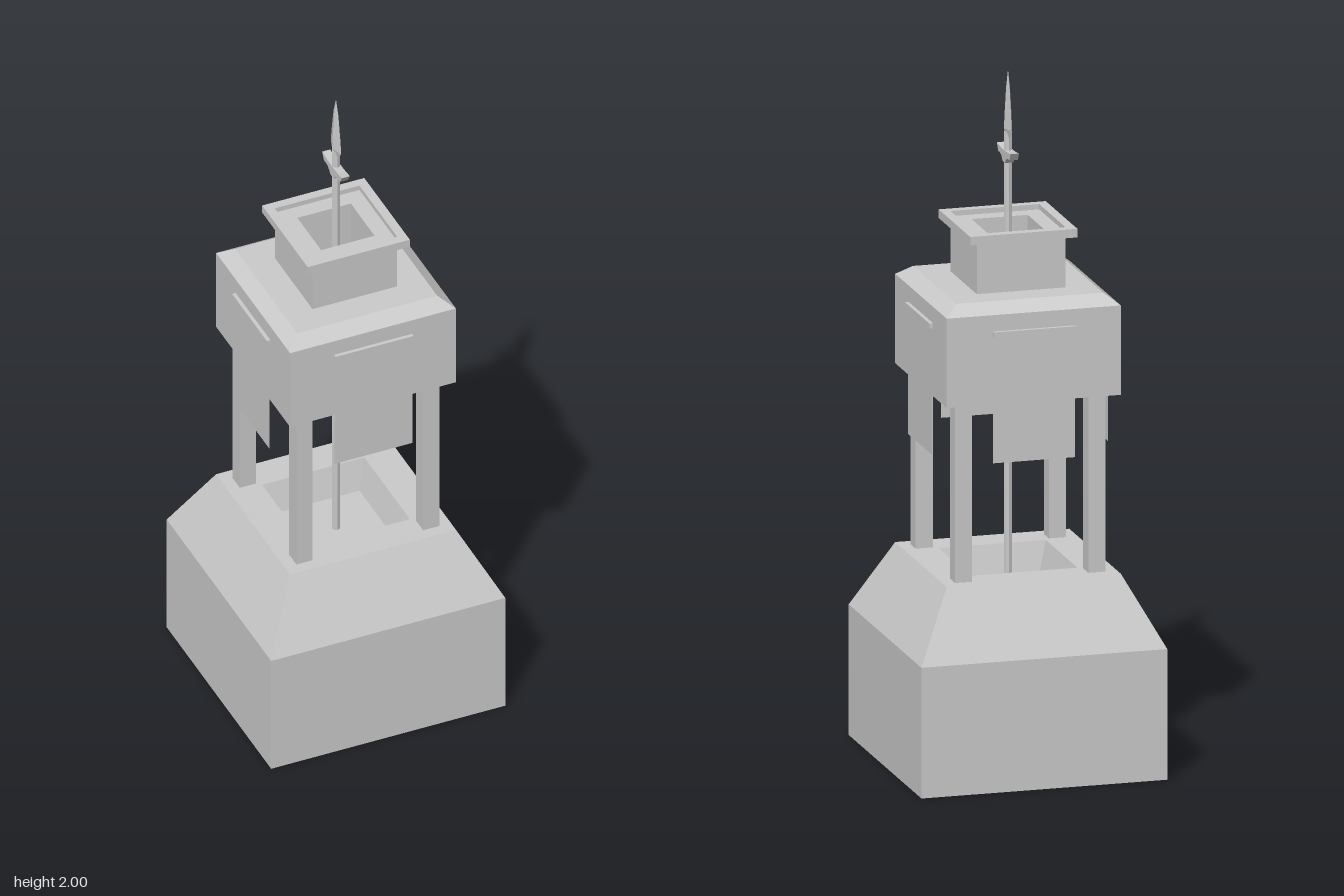
import * as THREE from 'three';

const grey = new THREE.MeshStandardMaterial({ color: 0xcccccc, flatShading: true });
const clothGrey = new THREE.MeshStandardMaterial({ color: 0xcccccc, side: THREE.DoubleSide });

function add(parent, name, geometry, x = 0, y = 0, z = 0) {
  const mesh = new THREE.Mesh(geometry, grey);
  mesh.name = name;
  mesh.position.set(x, y, z);
  parent.add(mesh);
  return mesh;
}

// Square solid from a profile of [half width, height], from bottom axis to top axis
function squareLathe(profile) {
  const points = profile.map(([h, y]) => new THREE.Vector2(h * Math.SQRT2, y));
  return new THREE.LatheGeometry(points, 4, Math.PI / 4);
}

export function createModel() {
  const model = new THREE.Group();
  model.name = 'bannerTower';

  // Plinth with sloping shoulders and a sunken floor
  add(model, 'plinth', squareLathe([
    [0, 0], [0.36, 0], [0.36, 0.38], [0.255, 0.58],
    [0.157, 0.58], [0.13, 0.49], [0, 0.49],
  ]));

  // Corner posts
  for (const sx of [-1, 1]) {
    for (const sz of [-1, 1]) {
      add(model, 'cornerPost', new THREE.BoxGeometry(0.05, 0.53, 0.05), sx * 0.195, 0.84, sz * 0.195);
    }
  }

  // Upper block, hollow underneath and bevelled on top
  add(model, 'upperBlock', squareLathe([
    [0, 1.2], [0.16, 1.2], [0.16, 1.1], [0.255, 1.1],
    [0.255, 1.36], [0.215, 1.39], [0, 1.39],
  ]));

  // Open collar with a flanged rim
  add(model, 'collar', squareLathe([
    [0.13, 1.39], [0.13, 1.54], [0.157, 1.54], [0.157, 1.565], [0.13, 1.565],
    [0.13, 1.55], [0.082, 1.55], [0.082, 1.395], [0, 1.395],
  ]));

  // One hanging banner with its rod on each side
  for (let i = 0; i < 4; i++) {
    const side = new THREE.Group();
    side.name = 'banner';
    side.rotation.y = i * Math.PI / 2;
    const cloth = add(side, 'cloth', new THREE.PlaneGeometry(0.24, 0.375), 0, 1.1175, 0.258);
    cloth.material = clothGrey;
    add(side, 'rod', new THREE.BoxGeometry(0.24, 0.015, 0.014), 0, 1.305, 0.259);
    model.add(side);
  }

  // Spear standing through the middle
  const spear = new THREE.Group();
  spear.name = 'spear';
  model.add(spear);
  add(spear, 'shaft', new THREE.CylinderGeometry(0.012, 0.012, 1.33, 8), 0, 1.155, 0);

  // Leaf-shaped blade, diamond in section
  const blade = new THREE.LatheGeometry([
    [0, 1.795], [0.012, 1.8], [0.036, 1.83], [0.031, 1.87], [0.017, 1.95], [0, 2],
  ].map(([r, y]) => new THREE.Vector2(r, y)), 4);
  blade.scale(0.33, 1, 1);
  add(spear, 'blade', blade);

  // Winged crossguard, drawn in profile and turned to run along z
  const wing = new THREE.Shape();
  wing.moveTo(-0.068, 1.772);
  wing.lineTo(-0.055, 1.75);
  wing.quadraticCurveTo(-0.025, 1.755, -0.012, 1.732);
  wing.lineTo(0.012, 1.732);
  wing.quadraticCurveTo(0.025, 1.755, 0.055, 1.75);
  wing.lineTo(0.068, 1.772);
  wing.quadraticCurveTo(0, 1.762, -0.068, 1.772);
  const guard = new THREE.ExtrudeGeometry(wing, { depth: 0.025, bevelEnabled: false, curveSegments: 5 });
  guard.translate(0, 0, -0.0125);
  guard.rotateY(Math.PI / 2);
  add(spear, 'crossguard', guard);

  return model;
}
